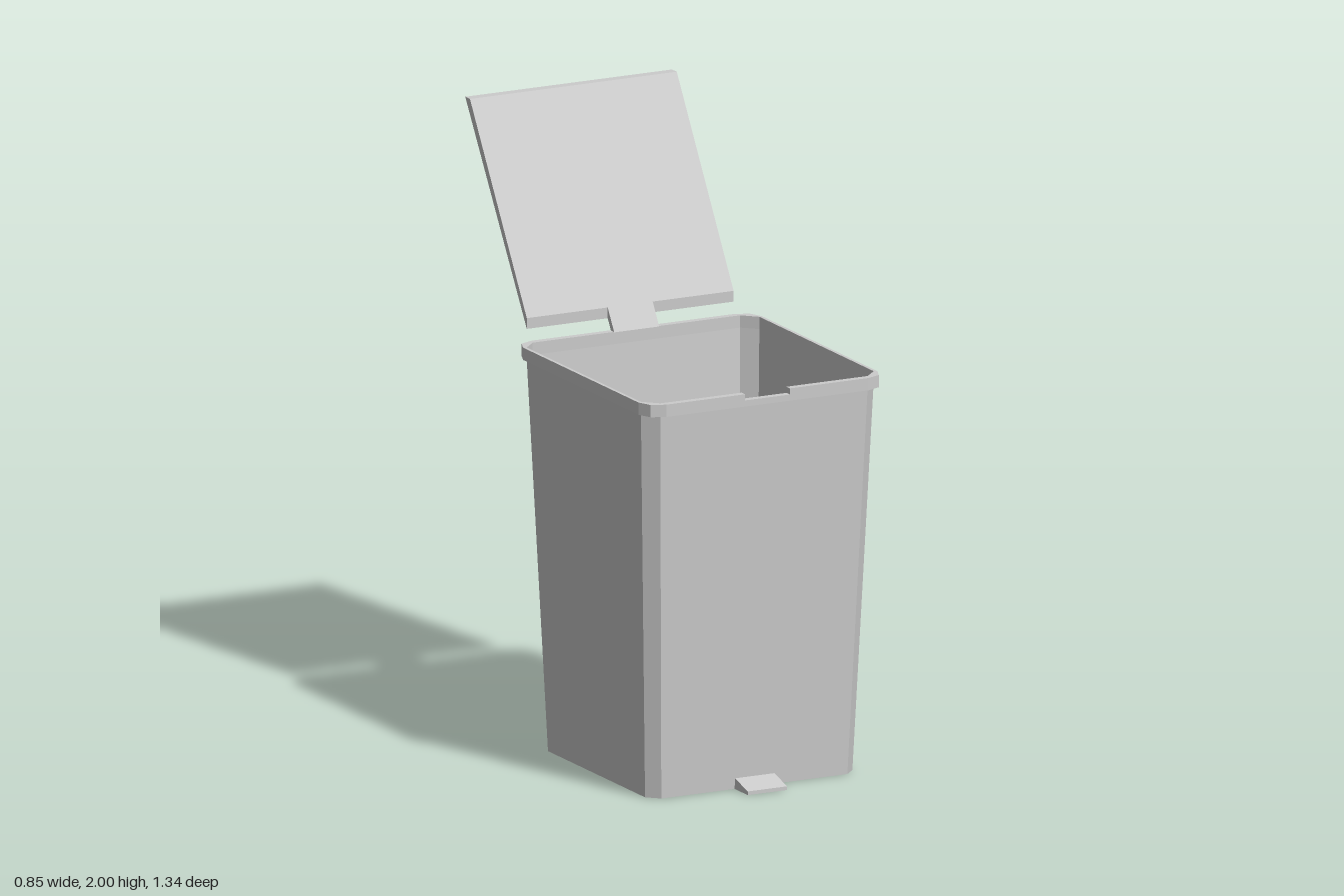
import * as THREE from 'three';

const CENTRE_Z = 0.217; // middle of the bin body
const material = new THREE.MeshStandardMaterial({ color: 0xcccccc, flatShading: true });
const thin = new THREE.MeshStandardMaterial({ color: 0xcccccc, flatShading: true, side: THREE.DoubleSide });

// Points along the +x side of a rounded rectangle, counter-clockwise
function sidePoints(hx, hz, r, segs) {
  const pts = [];
  for (const s of [-1, 1]) {
    for (let i = 0; i <= segs; i++) {
      const a = (s < 0 ? -Math.PI / 2 : 0) + (i / segs) * Math.PI / 2;
      pts.push(new THREE.Vector2(hx - r + r * Math.cos(a), s * (hz - r) + r * Math.sin(a)));
    }
  }
  return pts;
}

function outline(hx, hz, r, segs) {
  const side = sidePoints(hx, hz, r, segs);
  return [...side, ...side.map(p => p.clone().negate())];
}

// Shape extruded upwards, from y0 to y1
function slab(shape, y0, y1) {
  const g = new THREE.ExtrudeGeometry(shape, { depth: y1 - y0, bevelEnabled: false });
  return g.rotateX(-Math.PI / 2).translate(0, y0, CENTRE_Z);
}

// Side profile of [z, y] points extruded across x
function crossX(profile, halfWidth) {
  const shape = new THREE.Shape(profile.map(([z, y]) => new THREE.Vector2(z, y)));
  const g = new THREE.ExtrudeGeometry(shape, { depth: 2 * halfWidth, bevelEnabled: false });
  return g.translate(0, 0, -halfWidth).rotateY(-Math.PI / 2);
}

// Tapered wall between two outlines
function loft(low, high, y0, y1) {
  const n = low.length, pos = [], idx = [];
  low.forEach(p => pos.push(p.x, y0, CENTRE_Z - p.y));
  high.forEach(p => pos.push(p.x, y1, CENTRE_Z - p.y));
  for (let i = 0; i < n; i++) {
    const j = (i + 1) % n;
    idx.push(i, j, n + j, i, n + j, n + i);
  }
  const g = new THREE.BufferGeometry();
  g.setAttribute('position', new THREE.Float32BufferAttribute(pos, 3));
  g.setIndex(idx);
  const flat = g.toNonIndexed();
  flat.computeVertexNormals();
  return flat;
}

export function createModel() {
  const group = new THREE.Group();
  const add = (name, geometry, mat = material) => {
    const mesh = new THREE.Mesh(geometry, mat);
    mesh.name = name;
    group.add(mesh);
  };

  // Open tapered body with chamfered corners
  const base = outline(0.369, 0.366, 0.038, 1);
  const top = outline(0.414, 0.431, 0.045, 1);
  add('bodyWall', loft(base, top, 0, 1.265), thin);
  const floor = new THREE.ShapeGeometry(new THREE.Shape(base));
  add('floor', floor.rotateX(-Math.PI / 2).translate(0, 0, CENTRE_Z), thin);

  // Rim: a full lower ring, and two upper halves that leave a notch front and back
  const RIM = [0.425, 0.455, 0.065, 2];
  const ring = new THREE.Shape(outline(...RIM));
  ring.holes.push(new THREE.Path(top));
  add('rimLower', slab(ring, 1.265, 1.285));

  const notch = 0.08;
  const half = new THREE.Shape([
    new THREE.Vector2(notch, -0.455), ...sidePoints(...RIM), new THREE.Vector2(notch, 0.455),
    new THREE.Vector2(notch, 0.431), ...sidePoints(0.414, 0.431, 0.045, 1).reverse(),
    new THREE.Vector2(notch, -0.431),
  ]);
  add('rimUpperLeft', slab(half, 1.285, 1.305));
  add('rimUpperRight', slab(half, 1.285, 1.305).translate(0, 0, -CENTRE_Z).rotateY(Math.PI).translate(0, 0, CENTRE_Z));

  // Raised lid, with the hinge tab resting in the back notch
  add('lid', crossX([[-0.256, 1.34], [-0.256, 1.375], [-0.64, 2], [-0.672, 2]], 0.368));
  add('hingeTab', crossX([[-0.212, 1.285], [-0.212, 1.304], [-0.256, 1.375], [-0.256, 1.34], [-0.222, 1.285]], notch));

  // Foot pedal
  add('pedal', crossX([[0.575, 0], [0.672, 0], [0.672, 0.012], [0.58, 0.036]], 0.07));

  return group;
}
